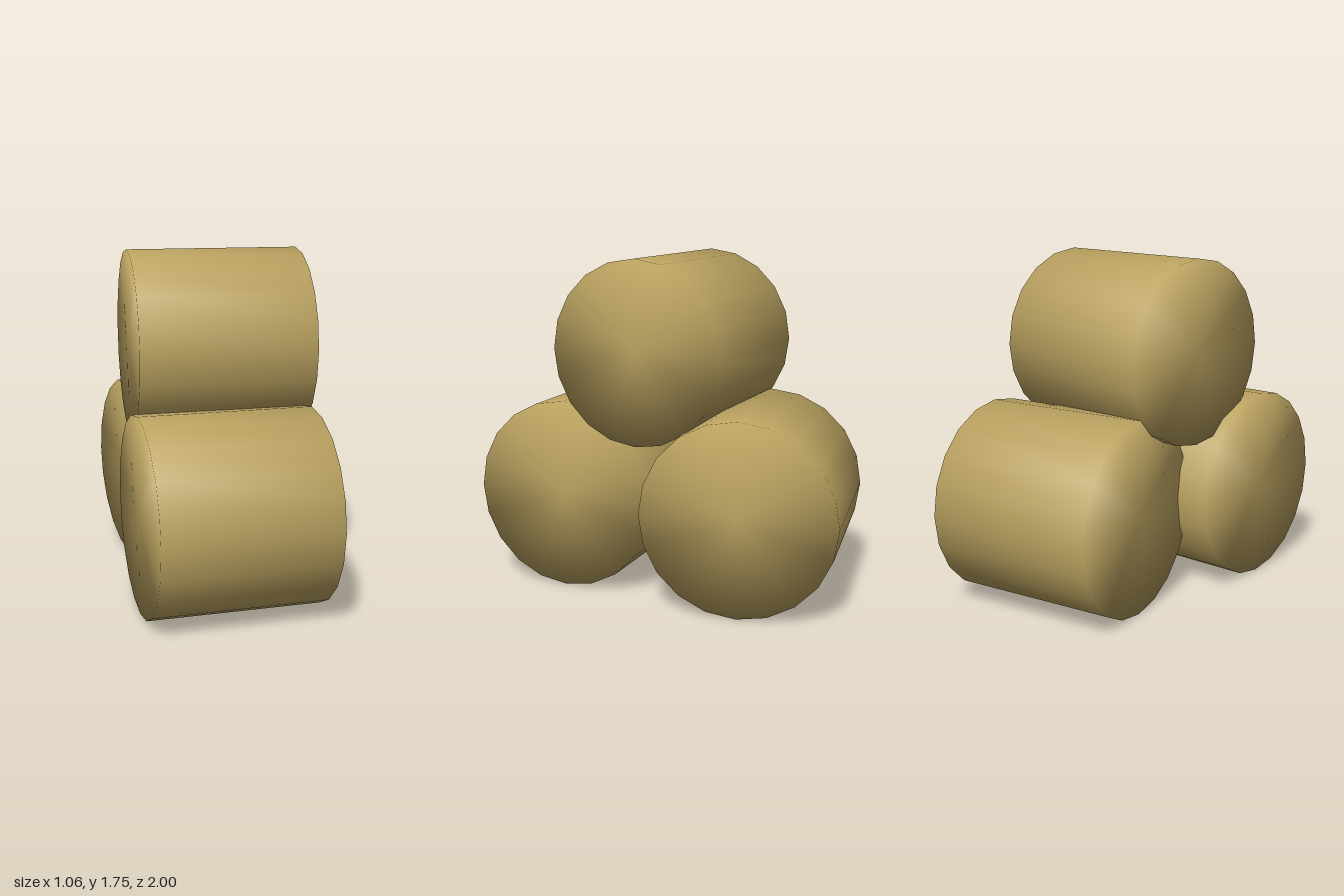
import * as THREE from 'three';
import { mergeVertices } from 'three/addons/utils/BufferGeometryUtils.js';

const LENGTH = 0.88;

// Twenty-sided cylinder along x, with normals blended softly over the rims
function logGeometry(radius) {
  const geometry = new THREE.CylinderGeometry(radius, radius, LENGTH, 20);
  geometry.rotateZ(Math.PI / 2);
  geometry.deleteAttribute('normal');
  geometry.deleteAttribute('uv');
  const merged = mergeVertices(geometry, 1e-4);
  merged.computeVertexNormals();
  return merged;
}

export function createModel() {
  const group = new THREE.Group();
  group.name = 'logPile';
  const straw = new THREE.MeshStandardMaterial({ color: 0xbaa260 });
  straw.name = 'straw';

  // Two rolls on the ground and a slightly smaller one resting on top
  const rolls = [
    { name: 'frontRoll', radius: 0.5, position: [-0.09, 0.5, 0.5], turn: 0 },
    { name: 'backRoll', radius: 0.5, position: [0.022, 0.5, -0.447], turn: 0.138 },
    { name: 'topRoll', radius: 0.47, position: [-0.034, 1.28, 0.028], turn: -0.07 },
  ];
  for (const { name, radius, position, turn } of rolls) {
    const roll = new THREE.Mesh(logGeometry(radius), straw);
    roll.name = name;
    roll.position.set(...position);
    roll.rotation.y = turn;
    group.add(roll);
  }
  return group;
}
